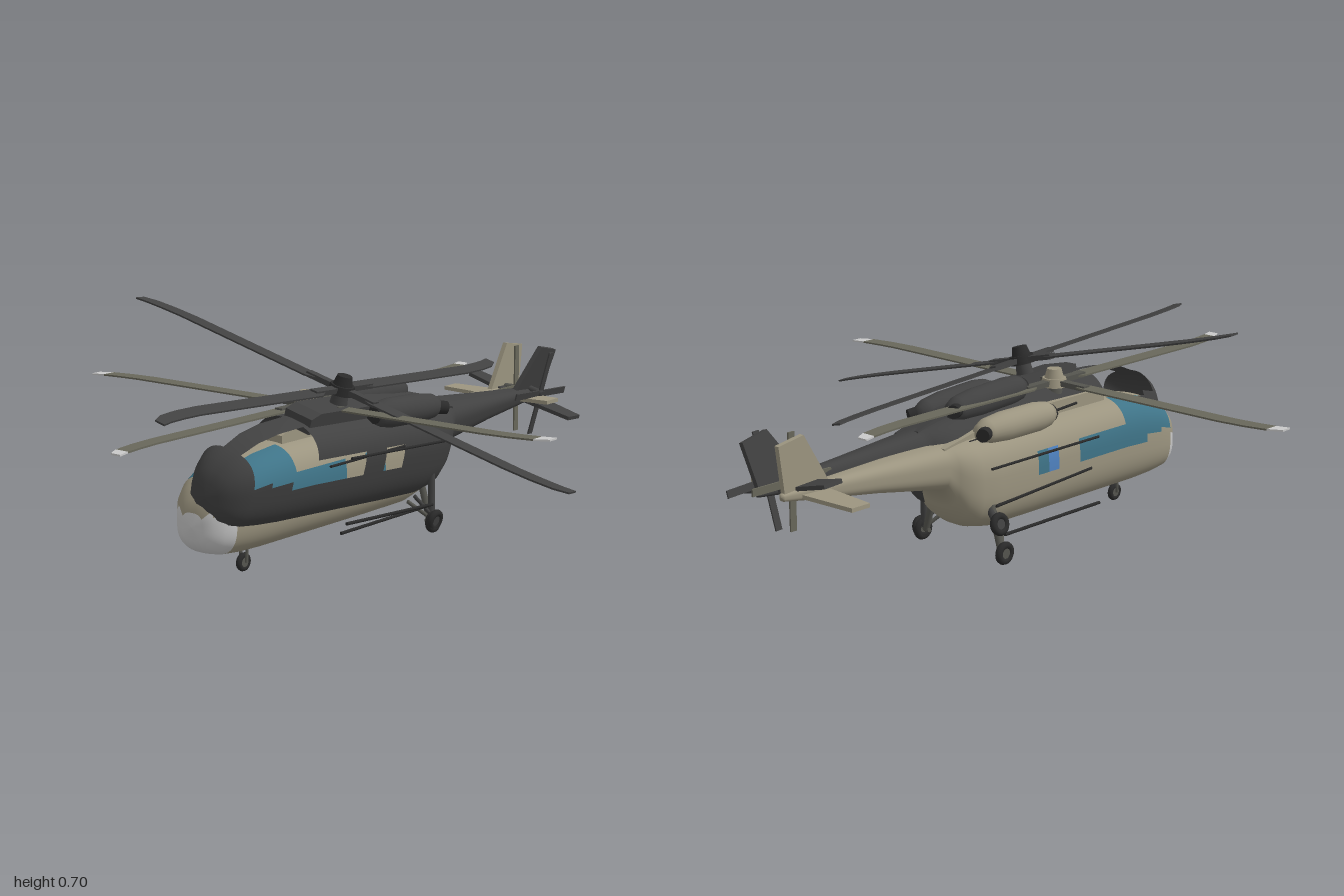
import * as THREE from 'three';

const mat = (name, color, side = THREE.FrontSide) => {
  const m = new THREE.MeshStandardMaterial({ color, side });
  m.name = name;
  return m;
};

// Hull sections: z, bottom, top, half width
const SECTIONS = [
  [0.672, 0.175, 0.175, 0.001], [0.668, 0.135, 0.215, 0.04], [0.655, 0.11, 0.25, 0.07], [0.63, 0.093, 0.28, 0.093],
  [0.6, 0.085, 0.305, 0.108], [0.54, 0.08, 0.335, 0.12], [0.46, 0.078, 0.355, 0.128], [0.36, 0.078, 0.365, 0.13],
  [0.14, 0.078, 0.365, 0.13], [0.045, 0.078, 0.365, 0.13], [0, 0.078, 0.365, 0.13], [-0.045, 0.078, 0.365, 0.13],
  [-0.2, 0.08, 0.365, 0.13], [-0.27, 0.095, 0.363, 0.125], [-0.31, 0.125, 0.36, 0.11], [-0.335, 0.17, 0.358, 0.09],
  [-0.36, 0.225, 0.355, 0.073], [-0.6, 0.268, 0.35, 0.046], [-0.85, 0.305, 0.346, 0.022], [-0.93, 0.318, 0.34, 0.012],
  [-0.935, 0.33, 0.33, 0.001],
];

// Decides which painted area a hull face belongs to
function area(x, y, z) {
  const ax = Math.abs(x);
  if (z > 0.6 && y < 0.215) return 'nose';
  if (z > 0.36 && z < 0.6 && y > 0.232 && ax > 0.035) return 'glass';
  if (z > 0.14 && z < 0.36 && y > 0.232 && y < 0.292) return 'glass';
  if (Math.abs(z) < 0.045 && y > 0.232 && y < 0.292) return x < 0 && z > 0 ? 'pane' : 'glass';
  return 'hull';
}

// Lofted hull; areas without a material are left open
function hullMesh(p) {
  const N = 64, pos = [], full = [], byArea = { hull: [], nose: [], glass: [], pane: [] };
  for (const [z, lo, hi, w] of SECTIONS) {
    for (let j = 0; j < N; j++) {
      const a = (j / N) * Math.PI * 2, c = Math.cos(a), s = Math.sin(a);
      pos.push(w * Math.sign(c) * Math.abs(c) ** 0.72, (lo + hi) / 2 + ((hi - lo) / 2) * Math.sign(s) * Math.abs(s) ** 0.72, z);
    }
  }
  for (let i = 0; i < SECTIONS.length - 1; i++) {
    for (let j = 0; j < N; j++) {
      const k = (j + 1) % N, a = i * N + j, b = i * N + k, c = a + N, d = b + N;
      const mid = [0, 1, 2].map((n) => [a, b, c, d].reduce((t, v) => t + pos[v * 3 + n], 0) / 4);
      const quad = [a, c, b, b, c, d];
      full.push(...quad);
      byArea[area(...mid)].push(...quad);
    }
  }
  const g = new THREE.BufferGeometry();
  g.setAttribute('position', new THREE.Float32BufferAttribute(pos, 3));
  g.setIndex(full);
  g.computeVertexNormals();
  const index = [], mats = [];
  for (const key of Object.keys(byArea)) {
    if (!p[key]) continue;
    g.addGroup(index.length, byArea[key].length, mats.length);
    index.push(...byArea[key]);
    mats.push(p[key]);
  }
  g.setIndex(index);
  const m = new THREE.Mesh(g, mats);
  m.name = 'fuselage';
  return m;
}

function add(parent, name, geo, material, x = 0, y = 0, z = 0) {
  const m = new THREE.Mesh(geo, material);
  m.name = name;
  m.position.set(x, y, z);
  parent.add(m);
  return m;
}

function rod(parent, name, a, b, r, material) {
  const va = new THREE.Vector3(...a), vb = new THREE.Vector3(...b), d = vb.clone().sub(va);
  const m = add(parent, name, new THREE.CylinderGeometry(r, r, d.length(), 10), material);
  m.position.copy(va).add(vb).multiplyScalar(0.5);
  m.quaternion.setFromUnitVectors(new THREE.Vector3(0, 1, 0), d.normalize());
}

const plate = (pts, depth) => new THREE.ExtrudeGeometry(
  new THREE.Shape(pts.map(([x, y]) => new THREE.Vector2(x, y))), { depth, bevelEnabled: false }).translate(0, 0, -depth / 2);

function wheel(parent, name, x, y, z, r, p) {
  add(parent, name + 'Tyre', new THREE.TorusGeometry(r * 0.68, r * 0.32, 10, 24).rotateY(Math.PI / 2), p.tyre, x, y, z);
  add(parent, name + 'Rim', new THREE.CylinderGeometry(r * 0.6, r * 0.6, 0.014, 16).rotateZ(Math.PI / 2), p.rim, x, y, z);
}

function helicopter(name, p, radius) {
  const h = new THREE.Group();
  h.name = name;
  h.add(hullMesh(p));

  // Roof housing in front of and behind the mast
  const roof = [[0.34, 0.34], [0.34, 0.385], [0.3, 0.4], [0, 0.4], [-0.2, 0.385], [-0.36, 0.352], [-0.36, 0.33]];
  add(h, 'roofHousing', plate(roof, 0.1).rotateY(-Math.PI / 2), p.hull);

  // Engines, exhausts, rails, steps and main wheels on both sides
  for (const s of [-1, 1]) {
    const side = s > 0 ? 'left' : 'right';
    const pod = [[0.001, -0.165], [0.025, -0.16], [0.038, -0.13], [0.045, -0.06], [0.045, 0.08], [0.038, 0.125], [0.028, 0.145], [0.001, 0.147]];
    add(h, side + 'Engine', new THREE.LatheGeometry(pod.map((q) => new THREE.Vector2(...q)), 24).rotateX(Math.PI / 2),
      p.hull, s * 0.068, 0.378, -0.075);
    add(h, side + 'Intake', new THREE.CylinderGeometry(0.026, 0.026, 0.03, 20).rotateX(Math.PI / 2), p.tyre, s * 0.068, 0.378, 0.062);
    add(h, side + 'Exhaust', new THREE.CylinderGeometry(0.023, 0.02, 0.06, 20).rotateX(Math.PI / 2).rotateY(-s * 0.5),
      p.tyre, s * 0.083, 0.378, -0.225);
    rod(h, side + 'DoorRail', [s * 0.133, 0.285, 0.22], [s * 0.133, 0.285, -0.25], 0.004, p.tyre);
    rod(h, side + 'StepBar', [s * 0.155, 0.085, 0.2], [s * 0.155, 0.085, -0.22], 0.005, p.tyre);
    wheel(h, side + 'Wheel', s * 0.168, 0.035, -0.235, 0.035, p);
    rod(h, side + 'GearLeg', [s * 0.155, 0.035, -0.235], [s * 0.115, 0.17, -0.235], 0.011, p.strut);
    rod(h, side + 'GearBrace', [s * 0.155, 0.045, -0.235], [s * 0.11, 0.1, -0.18], 0.006, p.strut);
    rod(h, side + 'Axle', [s * 0.14, 0.035, -0.235], [s * 0.175, 0.035, -0.235], 0.007, p.strut);
  }

  // Nose wheel
  wheel(h, 'noseWheel', 0, 0.028, 0.455, 0.028, p);
  for (const s of [-1, 1]) rod(h, 'noseGearLeg', [s * 0.012, 0.028, 0.455], [s * 0.012, 0.1, 0.45], 0.005, p.strut);

  // Fin and stabiliser
  add(h, 'tailFin', plate([[-0.76, 0.33], [-0.855, 0.49], [-0.945, 0.475], [-0.925, 0.32]], 0.016).rotateY(-Math.PI / 2), p.hull);
  const stab = [[-0.205, -0.8], [-0.02, -0.782], [0.02, -0.782], [0.205, -0.8], [0.205, -0.865], [0.02, -0.875], [-0.02, -0.875], [-0.205, -0.865]];
  add(h, 'stabiliser', plate(stab, 0.012).rotateX(Math.PI / 2), p.hull, 0, 0.322, 0);

  // Tail rotor
  const tail = new THREE.Group();
  tail.name = 'tailRotor';
  tail.position.set(0.05, 0.345, -0.85);
  add(tail, 'tailRotorShaft', new THREE.CylinderGeometry(0.012, 0.012, 0.06, 12).rotateZ(Math.PI / 2), p.strut, -0.02);
  for (let k = 0; k < 4; k++) {
    add(tail, 'tailRotorBlade', new THREE.BoxGeometry(0.005, 0.13, 0.022).translate(0, 0.077, 0), p.rotor).rotation.x = k * Math.PI / 2;
  }
  h.add(tail);

  // Main rotor with swept blade tips
  const rotor = new THREE.Group();
  rotor.name = 'mainRotor';
  rotor.position.set(0, 0.445, 0.165);
  add(rotor, 'mast', new THREE.CylinderGeometry(0.02, 0.03, 0.09, 16), p.strut, 0, -0.03, 0);
  add(rotor, 'hub', new THREE.CylinderGeometry(0.036, 0.042, 0.026, 20), p.hub);
  add(rotor, 'hubCap', new THREE.CylinderGeometry(0.022, 0.03, 0.03, 20), p.hub, 0, 0.026, 0);
  const R = radius;
  const main = [[-0.022, 0.12], [-0.022, R - 0.2], [-0.014, R - 0.11], [0, R - 0.04], [0.045, R - 0.04],
    [0.036, R - 0.1], [0.03, R - 0.17], [0.03, 0.12], [0.012, 0.09], [-0.01, 0.09]];
  const tip = [[0, R - 0.04], [0.022, R], [0.056, R], [0.045, R - 0.04]];
  for (let k = 0; k < 4; k++) {
    const arm = new THREE.Group();
    arm.name = 'rotorArm';
    arm.rotation.y = k * Math.PI / 2;
    add(arm, 'bladeGrip', new THREE.BoxGeometry(0.026, 0.016, 0.11), p.strut, 0, 0, 0.075);
    add(arm, 'blade', plate(main, 0.005).rotateX(Math.PI / 2), p.rotor);
    add(arm, 'bladeTip', plate(tip, 0.005).rotateX(Math.PI / 2), p.tip);
    rotor.add(arm);
  }
  h.add(rotor);
  return h;
}

export function createModel() {
  const tan = mat('tan paint', 0x9c9580), olive = mat('olive blade', 0x68675a), charcoal = mat('charcoal', 0x414141, THREE.DoubleSide);
  const teal = mat('teal glass', 0x3f7488), blue = mat('blue pane', 0x4f82c0), pale = mat('pale grey', 0xc9c9c9);
  const black = mat('black rubber', 0x2a2a2a), steel = mat('dark steel', 0x55554f);

  const model = new THREE.Group();
  model.name = 'helicopterPair';

  // Intact painted aircraft, standing level
  const intact = helicopter('intactHelicopter', {
    hull: tan, nose: pale, glass: teal, pane: blue, rotor: olive, tip: pale, hub: tan, tyre: black, rim: steel, strut: steel,
  }, 0.835);
  intact.position.x = -0.03;
  model.add(intact);

  // Burnt-out copy with open windows, leaning and overlapping the first
  const burnt = helicopter('burntHelicopter', {
    hull: charcoal, nose: charcoal, rotor: charcoal, tip: charcoal, hub: black, tyre: black, rim: charcoal, strut: charcoal,
  }, 0.805);
  burnt.rotation.set(-0.056, 0, -0.245);
  const hub = new THREE.Vector3(0, 0.445, 0.165).applyEuler(burnt.rotation);
  burnt.position.set(0.08, 0.5, 0.14).sub(hub);
  model.add(burnt);
  return model;
}
